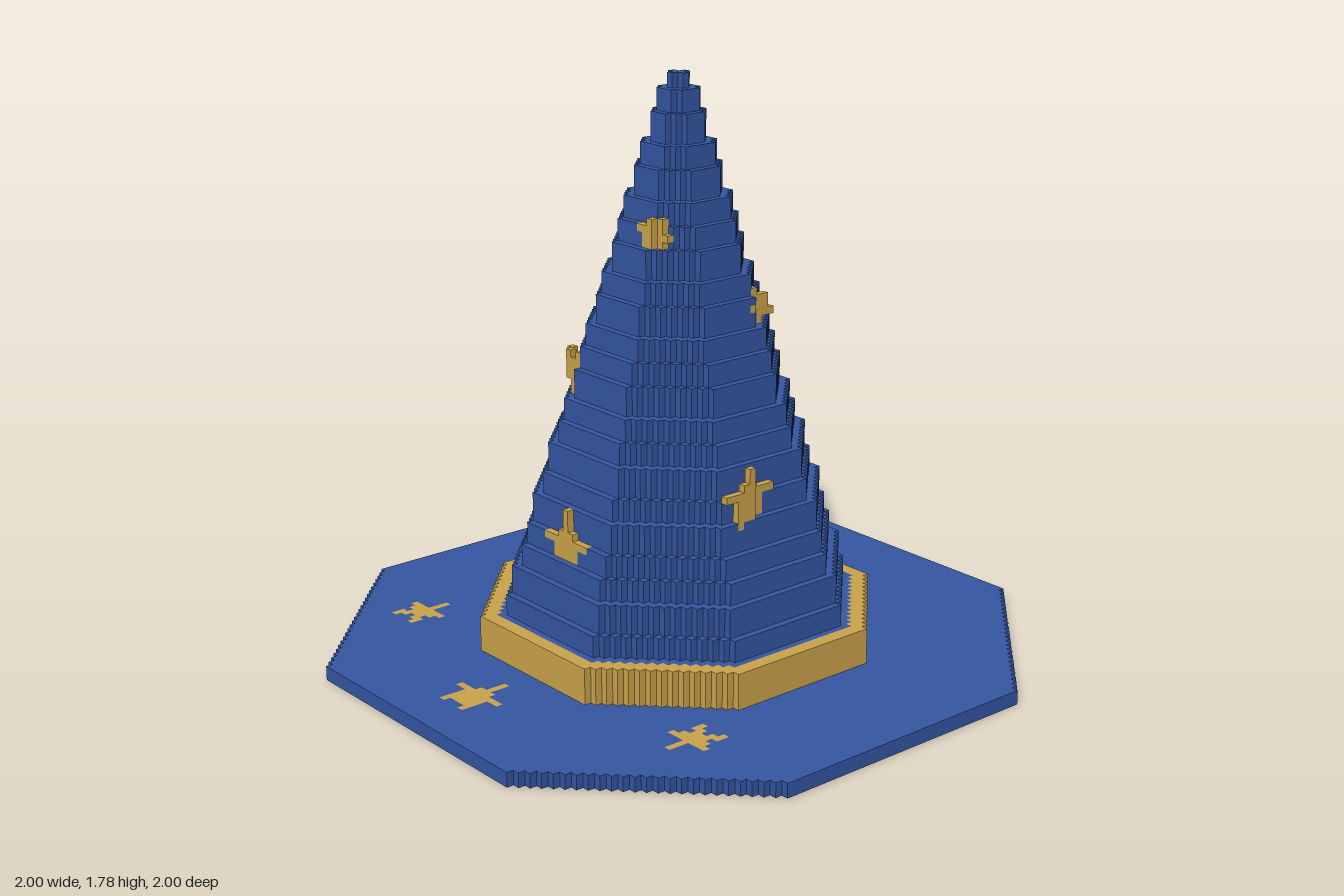
import * as THREE from 'three';

const S = 2 / 90;      // edge of one block
const LAYERS = 80;     // hat height in blocks
const BRIM = 45, BRIM_TOP = 2, BAND = 25, BAND_TOP = 7;

// Octagon of half-width n, in block coordinates
const inOctagon = (x, z, n) =>
  n >= 0 && Math.max(Math.abs(x), Math.abs(z)) <= n &&
  Math.abs(x) + Math.abs(z) <= Math.round(n * 1.42);

// Half-width of the cone at layer j
const coneRadius = (j) => Math.round(22 - ((j + 0.5) * S - 0.19) * 13.3);

// Five-pointed star with one tip along +v
function inStar(u, v, R) {
  const r = Math.hypot(u, v), sector = Math.PI * 2 / 5, inner = R * 0.45;
  let a = Math.abs(Math.atan2(u, v)) % sector;
  if (a > sector / 2) a = sector - a;
  const ix = inner * Math.cos(sector / 2), iy = inner * Math.sin(sector / 2);
  const px = r * Math.cos(a), py = r * Math.sin(a);
  return (R - px) * iy - py * (R - ix) >= -1e-6;
}

// Joins the exposed faces of one part's blocks
function blockGeometry(cells, part) {
  const pos = [];
  for (const [key, cell] of cells) {
    if (cell.part !== part) continue;
    for (let a = 0; a < 3; a++) {
      for (const side of [0, 1]) {
        const next = [...cell.p];
        next[a] += side ? 1 : -1;
        if (cells.has(next.join())) continue;
        const corner = (du, dv) => {
          const c = [...cell.p];
          c[a] += side;
          c[(a + 1) % 3] += du;
          c[(a + 2) % 3] += dv;
          return c.map((t) => t * S);
        };
        const q = [corner(0, 0), corner(1, 0), corner(1, 1), corner(0, 1)];
        if (!side) q.reverse();
        for (const i of [0, 1, 2, 0, 2, 3]) pos.push(...q[i]);
      }
    }
  }
  const g = new THREE.BufferGeometry();
  g.setAttribute('position', new THREE.Float32BufferAttribute(pos, 3));
  g.computeVertexNormals();
  return g;
}

export function createModel() {
  const blue = new THREE.MeshStandardMaterial({ color: 0x3455a0 });
  blue.name = 'hat blue';
  const gold = new THREE.MeshStandardMaterial({ color: 0xc9a24a });
  gold.name = 'trim gold';

  const cells = new Map();
  const put = (x, y, z, part) => cells.set([x, y, z].join(), { p: [x, y, z], part });

  // Hollow cone, hatband around its foot and wide brim
  for (let j = 0; j < LAYERS; j++) {
    const n = coneRadius(j);
    const reach = j < BRIM_TOP ? BRIM : j < BAND_TOP ? BAND : n;
    for (let x = -reach; x <= Math.min(reach, 44); x++) {
      for (let z = -reach; z <= Math.min(reach, 44); z++) {
        if (inOctagon(x, z, n - 2)) continue;
        if (inOctagon(x, z, n)) put(x, j, z, 'cone');
        else if (inOctagon(x, z, reach)) put(x, j, z, j < BRIM_TOP ? 'brim' : 'hatband');
      }
    }
  }

  // Upright stars on the cone: facing axis, centre along it, height, depth, radius, slant, turn
  const coneStars = [
    ['z', 0, 18, 19, 5, 0, 0],
    ['z', -7, 40, 11.6, 4, 0.1, 0.5],
    ['z', 3, 59, 6.7, 3.6, -0.25, 0.2],
    ['x', 3, 26, 17.5, 4.8, 0.06, 0],
    ['x', -2, 36, -15, 4, 0, 0],
    ['x', -6, 49, 9, 3, 0.25, 0.5],
  ];
  for (const [axis, c, y, depth, R, slant, turn] of coneStars) {
    const cs = Math.cos(turn), sn = Math.sin(turn);
    for (let u = -5; u <= 5; u++) {
      for (let v = -5; v <= 5; v++) {
        if (!inStar(u * cs - v * sn, u * sn + v * cs, R)) continue;
        const d = Math.round(depth + slant * u);
        if (axis === 'z') put(c + u, y + v, d, 'coneStars');
        else put(d, y + v, c + u, 'coneStars');
      }
    }
  }

  // Flat stars set into the brim: x, z, radius, tip direction
  const brimStars = [[0, 35, 5, -1], [-28, 24, 4.4, -1], [28, 21, 4.4, 1], [-24, -28, 4.4, 1]];
  for (const [x, z, R, dir] of brimStars) {
    for (let u = -5; u <= 5; u++) {
      for (let v = -5; v <= 5; v++) {
        if (inStar(u, v, R)) put(x + u, BRIM_TOP - 1, z + v * dir, 'brimStars');
      }
    }
  }

  const group = new THREE.Group();
  group.name = 'starryPointedHat';
  const parts = { brim: blue, cone: blue, hatband: gold, coneStars: gold, brimStars: gold };
  for (const [name, material] of Object.entries(parts)) {
    const mesh = new THREE.Mesh(blockGeometry(cells, name), material);
    mesh.name = name;
    group.add(mesh);
  }
  return group;
}
